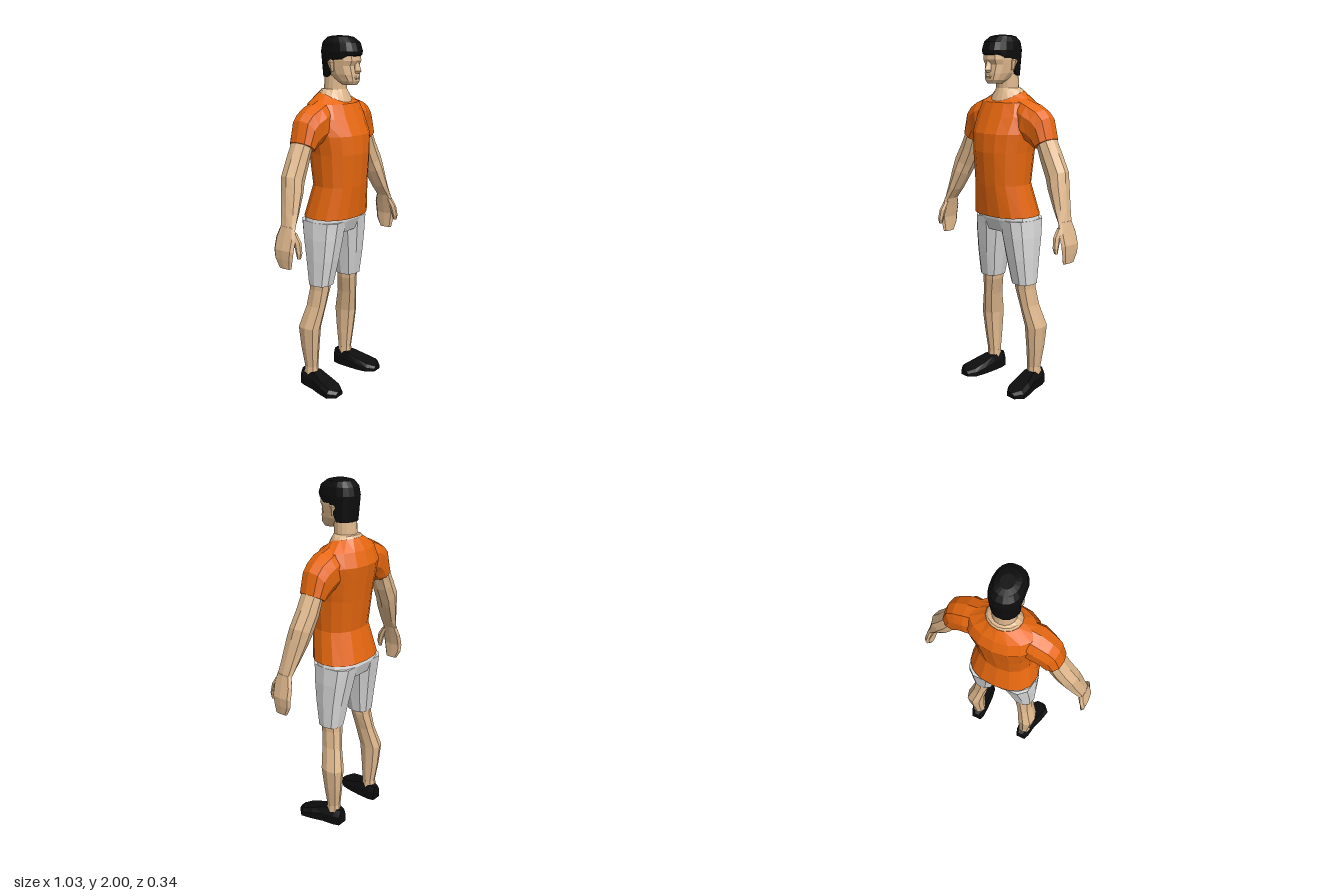
import * as THREE from 'three';

const mat = (name, color) => Object.assign(new THREE.MeshStandardMaterial({ color }), { name });

// Cross-section through (x1,y1) and (x2,y2), reaching from zBack to zFront; e < 1 makes it boxier
function ring([x1, y1, x2, y2, zFront, zBack], n, e, bend) {
  const soft = (v) => Math.sign(v) * Math.pow(Math.abs(v) < 1e-9 ? 0 : Math.abs(v), e);
  return Array.from({ length: n }, (_, i) => {
    const a = (i / n) * Math.PI * 2;
    const c = soft(Math.cos(a)), s = soft(Math.sin(a));
    const p = new THREE.Vector3(
      (x1 + x2) / 2 + ((x1 - x2) / 2) * c,
      (y1 + y2) / 2 + ((y1 - y2) / 2) * c,
      (zFront + zBack) / 2 + ((zFront - zBack) / 2) * s);
    if (bend) p.y = bend(p);
    return p;
  });
}

// Faceted, capped skin over a row of rings; side = -1 mirrors it to the right
function loft(rings, side = 1) {
  const tris = [];
  const n = rings[0].length;
  for (let r = 0; r < rings.length - 1; r++) {
    for (let i = 0; i < n; i++) {
      const j = (i + 1) % n;
      const [a, b, c, d] = [rings[r][i], rings[r][j], rings[r + 1][j], rings[r + 1][i]];
      tris.push([a, b, c], [a, c, d]);
    }
  }
  const cap = (pts, flip) => {
    const m = pts.reduce((t, p) => t.add(p), new THREE.Vector3()).divideScalar(n);
    pts.forEach((p, i) => {
      const q = pts[(i + 1) % n];
      tris.push(flip ? [m, q, p] : [m, p, q]);
    });
  };
  cap(rings[0], true);
  cap(rings[rings.length - 1], false);
  // Turn all faces outward
  const volume = tris.reduce((t, [a, b, c]) => t + a.dot(b.clone().cross(c)), 0) * side;
  const pos = [];
  for (const [a, b, c] of tris) {
    for (const p of volume < 0 ? [a, c, b] : [a, b, c]) pos.push(p.x * side, p.y, p.z);
  }
  const g = new THREE.BufferGeometry();
  g.setAttribute('position', new THREE.Float32BufferAttribute(pos, 3));
  g.computeVertexNormals();
  return g;
}

export function createModel() {
  const model = new THREE.Group();
  model.name = 'man';
  const skin = mat('skin', 0xe0b98e);
  const orange = mat('shirtOrange', 0xe8680f);
  const white = mat('shortsGrey', 0xdadada);
  const black = mat('black', 0x0d0d0d);

  const add = (name, material, rings, side) => {
    const mesh = new THREE.Mesh(loft(rings, side), material);
    mesh.name = name;
    model.add(mesh);
  };
  // Ring centred on x = 0
  const mid = (y, rx, zf, zb, n, e = 1, bend) => ring([rx, y, -rx, y, zf, zb], n, e, bend);
  // Part made on the left and mirrored to the right
  const pair = (name, material, sections, n = 8, e = 1) => {
    const rings = sections.map((s) => ring(s, n, e));
    add(name + 'Left', material, rings, 1);
    add(name + 'Right', material, rings, -1);
  };

  // Shirt body, with a neckline that dips at the front
  const neckline = (p) => p.y - 0.55 * Math.max(0, p.z) + 0.15 * Math.max(0, -p.z);
  add('shirtBody', orange, [
    mid(1.02, 0.2, 0.14, -0.16, 16, 0.85),
    mid(1.2, 0.165, 0.16, -0.115, 16, 0.9),
    mid(1.38, 0.175, 0.172, -0.14, 16, 0.9),
    mid(1.48, 0.19, 0.165, -0.155, 16, 0.9),
    mid(1.57, 0.2, 0.125, -0.168, 16, 0.95),
    mid(1.645, 0.18, 0.092, -0.14, 16),
    mid(1.692, 0.096, 0.078, -0.1, 16, 1, neckline),
  ]);
  pair('sleeve', orange, [
    [0.08, 1.688, 0.1, 1.45, 0.055, -0.1],
    [0.2, 1.648, 0.165, 1.44, 0.075, -0.11],
    [0.265, 1.615, 0.185, 1.43, 0.062, -0.105],
    [0.305, 1.575, 0.2, 1.42, 0.056, -0.102],
    [0.335, 1.465, 0.232, 1.405, 0.05, -0.095],
  ], 10, 0.85);

  // Arms and hands
  pair('arm', skin, [
    [0.32, 1.48, 0.235, 1.44, 0.035, -0.085],
    [0.375, 1.385, 0.275, 1.33, 0.035, -0.085],
    [0.425, 1.3, 0.315, 1.25, 0.04, -0.08],
    [0.438, 1.24, 0.34, 1.2, 0.05, -0.07],
    [0.465, 1.12, 0.4, 1.1, 0.06, -0.045],
    [0.483, 1.04, 0.446, 1.04, 0.068, -0.03],
  ], 8, 0.85);
  pair('hand', skin, [
    [0.482, 1.05, 0.446, 1.05, 0.066, -0.028],
    [0.497, 0.99, 0.462, 0.99, 0.08, -0.048],
    [0.513, 0.93, 0.478, 0.92, 0.078, -0.05],
    [0.511, 0.88, 0.479, 0.88, 0.07, -0.045],
    [0.505, 0.83, 0.48, 0.83, 0.06, -0.018],
  ], 8, 0.75);
  pair('thumb', skin, [
    [0.482, 1.02, 0.452, 1.02, 0.076, 0.04],
    [0.484, 0.975, 0.452, 0.975, 0.106, 0.06],
    [0.488, 0.92, 0.458, 0.92, 0.115, 0.08],
    [0.485, 0.89, 0.465, 0.89, 0.107, 0.088],
  ], 6);

  // Shorts
  add('shortsWaist', white, [
    mid(1.05, 0.185, 0.115, -0.145, 14, 0.85),
    mid(1.0, 0.196, 0.112, -0.155, 14, 0.85),
    mid(0.93, 0.19, 0.085, -0.13, 14, 0.85),
  ]);
  pair('shortsLeg', white, [
    [0.197, 1.0, 0.0, 1.0, 0.106, -0.152],
    [0.203, 0.9, 0.008, 0.92, 0.095, -0.135],
    [0.203, 0.78, 0.035, 0.78, 0.077, -0.11],
    [0.2, 0.63, 0.063, 0.63, 0.05, -0.085],
  ], 10, 0.8);

  // Legs
  pair('leg', skin, [
    [0.188, 0.68, 0.075, 0.68, 0.042, -0.08],
    [0.187, 0.6, 0.082, 0.6, 0.034, -0.083],
    [0.198, 0.5, 0.108, 0.5, 0.022, -0.098],
    [0.235, 0.37, 0.127, 0.37, 0.002, -0.132],
    [0.222, 0.24, 0.132, 0.24, -0.012, -0.12],
    [0.205, 0.12, 0.134, 0.12, -0.025, -0.102],
    [0.208, 0.07, 0.132, 0.07, -0.02, -0.108],
  ], 8, 0.85);

  // Shoes: sections from heel to toe as [z, inner x, outer x, height]
  const shoe = [
    [-0.125, 0.137, 0.198, 0.09], [-0.09, 0.127, 0.212, 0.096], [-0.02, 0.125, 0.225, 0.092],
    [0.05, 0.128, 0.25, 0.066], [0.115, 0.137, 0.266, 0.046], [0.157, 0.17, 0.23, 0.03],
  ].map(([z, a, b, h]) => [[a, 0], [b, 0], [b, h * 0.6], [b - 0.02, h], [a + 0.012, h], [a, h * 0.6]]
    .map(([x, y]) => new THREE.Vector3(x, y, z)));
  add('shoeLeft', black, shoe, 1);
  add('shoeRight', black, shoe, -1);

  // Neck and head
  add('neck', skin, [
    mid(1.692, 0.094, 0.076, -0.098, 16, 1, neckline),
    mid(1.705, 0.085, 0.07, -0.09, 16, 1, neckline),
    mid(1.72, 0.064, 0.05, -0.075, 16),
    mid(1.82, 0.06, 0.055, -0.07, 16),
  ]);
  add('head', skin, [
    mid(1.745, 0.036, 0.122, 0.045, 12, 0.8),
    mid(1.765, 0.054, 0.132, 0.01, 12, 0.8),
    mid(1.8, 0.068, 0.131, -0.04, 12, 0.8),
    mid(1.845, 0.076, 0.124, -0.065, 12, 0.8),
    mid(1.872, 0.078, 0.137, -0.07, 12, 0.8),
    mid(1.93, 0.076, 0.13, -0.07, 12, 0.8),
  ]);
  add('nose', skin, [
    mid(1.87, 0.008, 0.138, 0.1, 4),
    mid(1.818, 0.018, 0.157, 0.1, 4),
    mid(1.804, 0.014, 0.142, 0.1, 4),
  ]);
  add('lips', skin, [
    mid(1.792, 0.022, 0.134, 0.1, 6),
    mid(1.782, 0.026, 0.138, 0.1, 6),
    mid(1.772, 0.02, 0.134, 0.1, 6),
  ]);
  pair('ear', skin, [
    [0.078, 1.815, 0.06, 1.815, 0.03, 0.005],
    [0.088, 1.865, 0.06, 1.865, 0.036, -0.01],
    [0.08, 1.88, 0.06, 1.88, 0.03, 0],
  ], 6);

  // Hair: short fringe and sides, longer at the back
  const hairline = (p) => (p.z > 0.1 ? 1.9 : p.z > 0.015 ? 1.88 : 1.785);
  add('hair', black, [
    mid(1.88, 0.08, 0.143, -0.074, 18, 0.85, hairline),
    mid(1.92, 0.086, 0.147, -0.087, 18, 0.85),
    mid(1.965, 0.08, 0.132, -0.078, 18, 0.85),
    mid(1.992, 0.062, 0.095, -0.052, 18, 0.9),
    mid(2.0, 0.035, 0.06, -0.02, 18),
  ]);

  return model;
}
